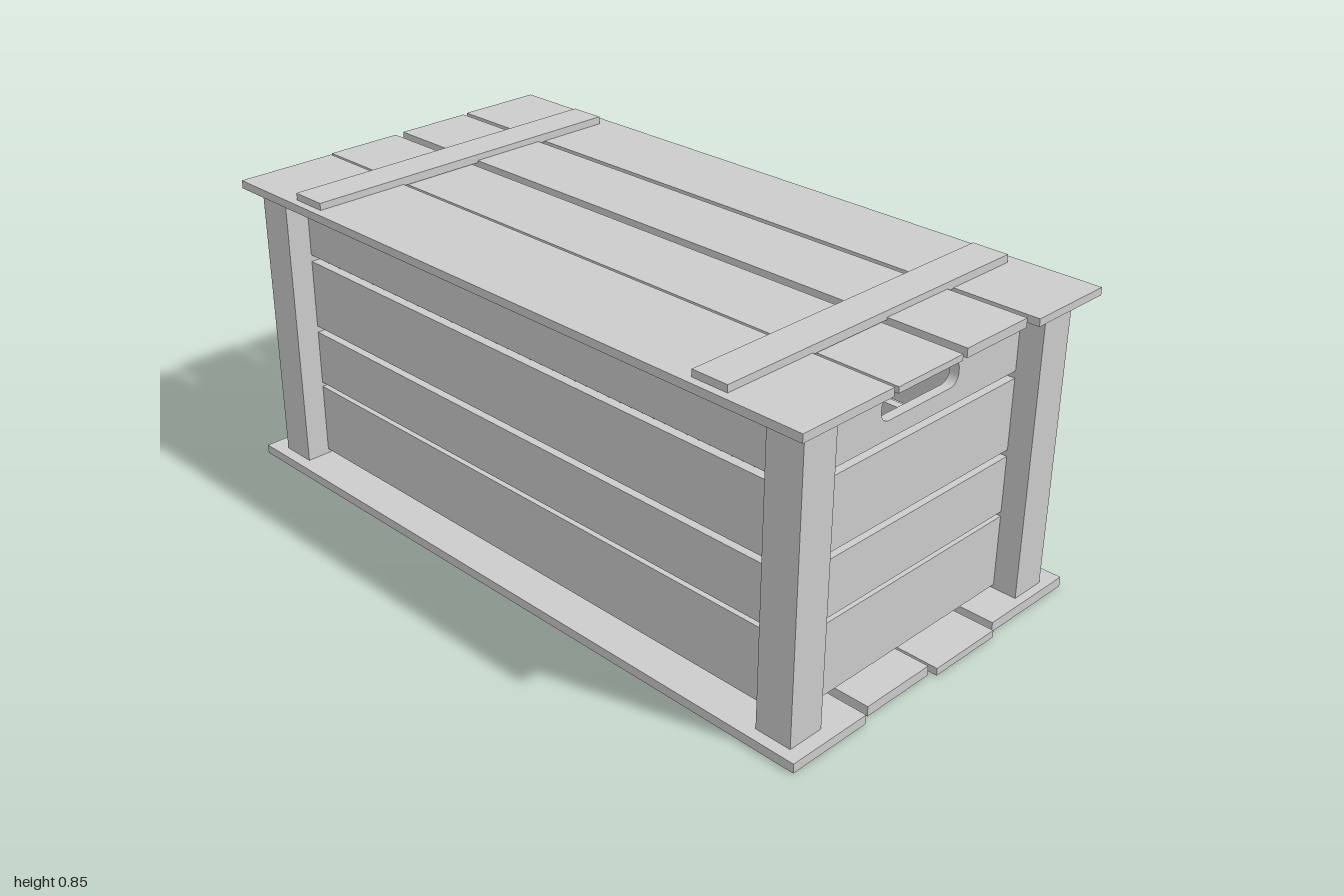
import * as THREE from 'three';

const material = new THREE.MeshStandardMaterial({ color: 0xcccccc });

export function createModel() {
  const crate = new THREE.Group();
  crate.name = 'crate';

  // Box given by its extents along each axis
  const box = (name, [x0, x1], [y0, y1], [z0, z1]) => {
    const mesh = new THREE.Mesh(new THREE.BoxGeometry(x1 - x0, y1 - y0, z1 - z0), material);
    mesh.position.set((x0 + x1) / 2, (y0 + y1) / 2, (z0 + z1) / 2);
    mesh.name = name;
    crate.add(mesh);
  };

  // Floor planks: x extent, top, z extent
  [
    [[-0.513, -0.267], 0.025, [-1, 0.99]],
    [[-0.243, -0.022], 0.027, [-0.975, 0.975]],
    [[-0.007, 0.214], 0.02, [-0.985, 0.99]],
    [[0.23, 0.517], 0.027, [-0.985, 0.975]],
  ].forEach(([x, top, z], i) => box(`floorPlank${i + 1}`, x, [0, top], z));

  // Lid planks
  [
    [[-0.52, -0.233], 0.834, [-0.98, 0.98]],
    [[-0.216, 0.004], 0.828, [-1, 0.978]],
    [[0.02, 0.24], 0.836, [-0.985, 0.977]],
    [[0.263, 0.51], 0.832, [-0.998, 0.995]],
  ].forEach(([x, top, z], i) => box(`lidPlank${i + 1}`, x, [0.812, top], z));

  // Battens across the lid
  box('frontBatten', [-0.498, 0.474], [0.83, 0.853], [0.655, 0.757]);
  box('backBatten', [-0.498, 0.474], [0.83, 0.853], [-0.76, -0.657]);

  // Corner posts
  const postX = [[-0.481, -0.378], [0.356, 0.459]];
  const postZ = [[-0.945, -0.843], [0.85, 0.952]];
  for (const x of postX) for (const z of postZ) box('cornerPost', x, [0.025, 0.812], z);

  // Side slats, set back from the outer faces of the posts
  const rows = [[0.037, 0.235], [0.248, 0.402], [0.42, 0.612], [0.631, 0.802]];
  const spanX = [-0.378, 0.356], spanZ = [-0.843, 0.85];
  rows.forEach((y, i) => {
    box(`rightSlat${i + 1}`, [-0.415, -0.39], y, spanZ);
    box(`leftSlat${i + 1}`, [0.368, 0.393], y, spanZ);
  });

  // End slats; the top one on each end has a rounded hand hole
  const ends = { front: [0.86, 0.886], back: [-0.88, -0.855] };
  for (const [end, z] of Object.entries(ends)) {
    rows.slice(0, 3).forEach((y, i) => box(`${end}Slat${i + 1}`, spanX, y, z));
    const handle = new THREE.Mesh(handleBoard(spanX, rows[3], z[1] - z[0]), material);
    handle.position.z = z[0];
    handle.name = `${end}HandleSlat`;
    crate.add(handle);
  }
  return crate;
}

// Flat board with a rounded slot cut through it
function handleBoard([x0, x1], [y0, y1], depth) {
  const shape = new THREE.Shape([
    new THREE.Vector2(x0, y0), new THREE.Vector2(x1, y0),
    new THREE.Vector2(x1, y1), new THREE.Vector2(x0, y1),
  ]);
  const [l, r, b, t, rad] = [-0.148, 0.127, 0.678, 0.745, 0.029];
  const hole = new THREE.Path();
  hole.absarc(l + rad, t - rad, rad, Math.PI, Math.PI / 2, true);
  hole.absarc(r - rad, t - rad, rad, Math.PI / 2, 0, true);
  hole.absarc(r - rad, b + rad, rad, 0, -Math.PI / 2, true);
  hole.absarc(l + rad, b + rad, rad, -Math.PI / 2, -Math.PI, true);
  hole.closePath();
  shape.holes.push(hole);
  return new THREE.ExtrudeGeometry(shape, { depth, bevelEnabled: false, curveSegments: 8 });
}
